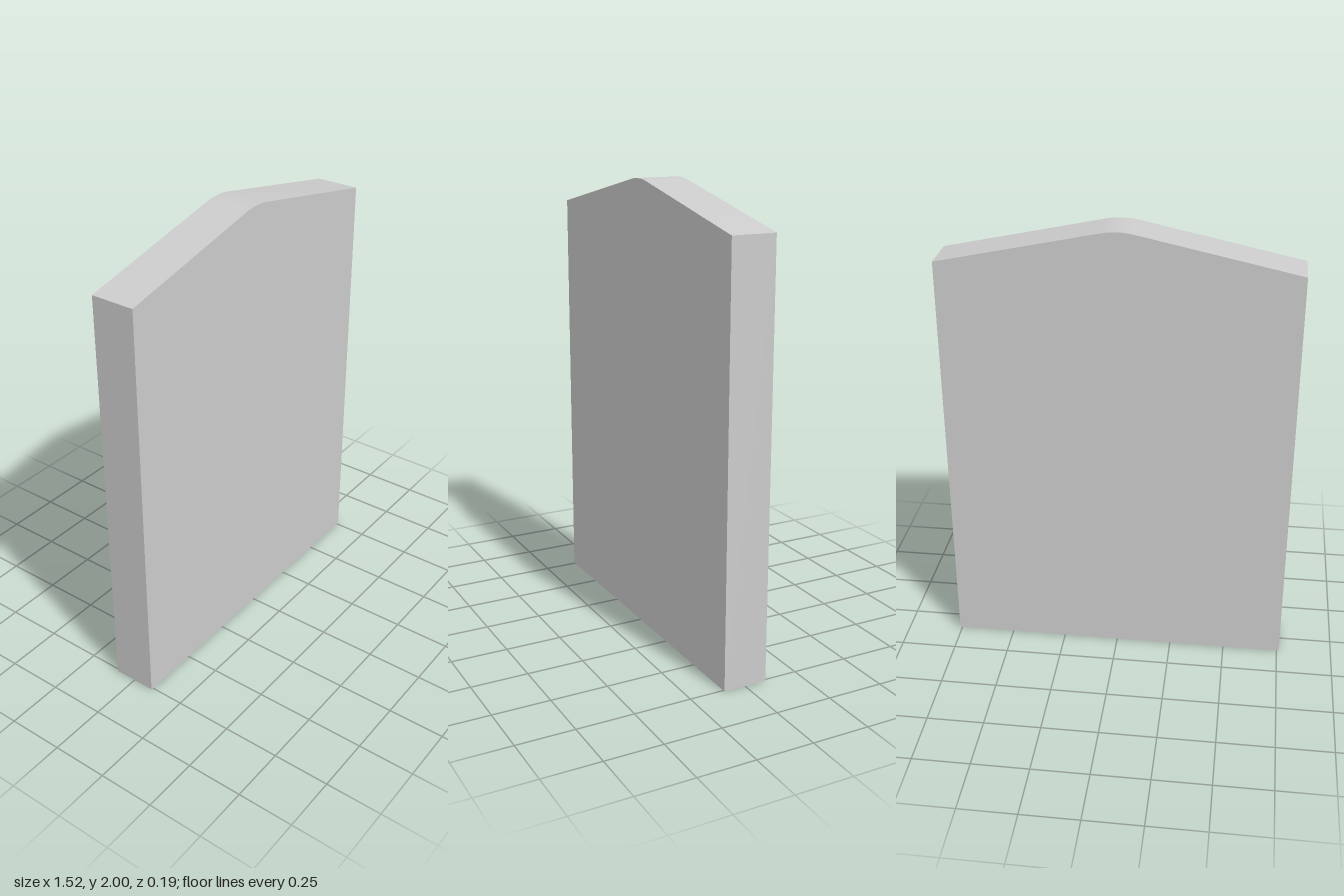
import * as THREE from 'three';
import { toCreasedNormals } from 'three/addons/utils/BufferGeometryUtils.js';

export function createModel() {
  const group = new THREE.Group();
  group.name = 'gabledSlab';

  const halfWidth = 0.76, shoulder = 1.845, depth = 0.195;
  const ridge = 2.007;      // where the two slopes would meet
  const round = 0.07;       // half width of the rounded ridge
  const roundY = ridge - (ridge - shoulder) * round / halfWidth;

  // Upright panel outline with two slopes and a softened ridge
  const outline = new THREE.Shape();
  outline.moveTo(-halfWidth, 0);
  outline.lineTo(halfWidth, 0);
  outline.lineTo(halfWidth, shoulder);
  outline.lineTo(round, roundY);
  outline.quadraticCurveTo(0, ridge, -round, roundY);
  outline.lineTo(-halfWidth, shoulder);
  outline.closePath();

  const geometry = new THREE.ExtrudeGeometry(outline, { depth, bevelEnabled: false, curveSegments: 10 });
  geometry.translate(0, 0, -depth / 2);

  const slab = new THREE.Mesh(
    toCreasedNormals(geometry, 0.3),
    new THREE.MeshStandardMaterial({ color: 0xcccccc })
  );
  slab.name = 'slab';
  group.add(slab);
  return group;
}
